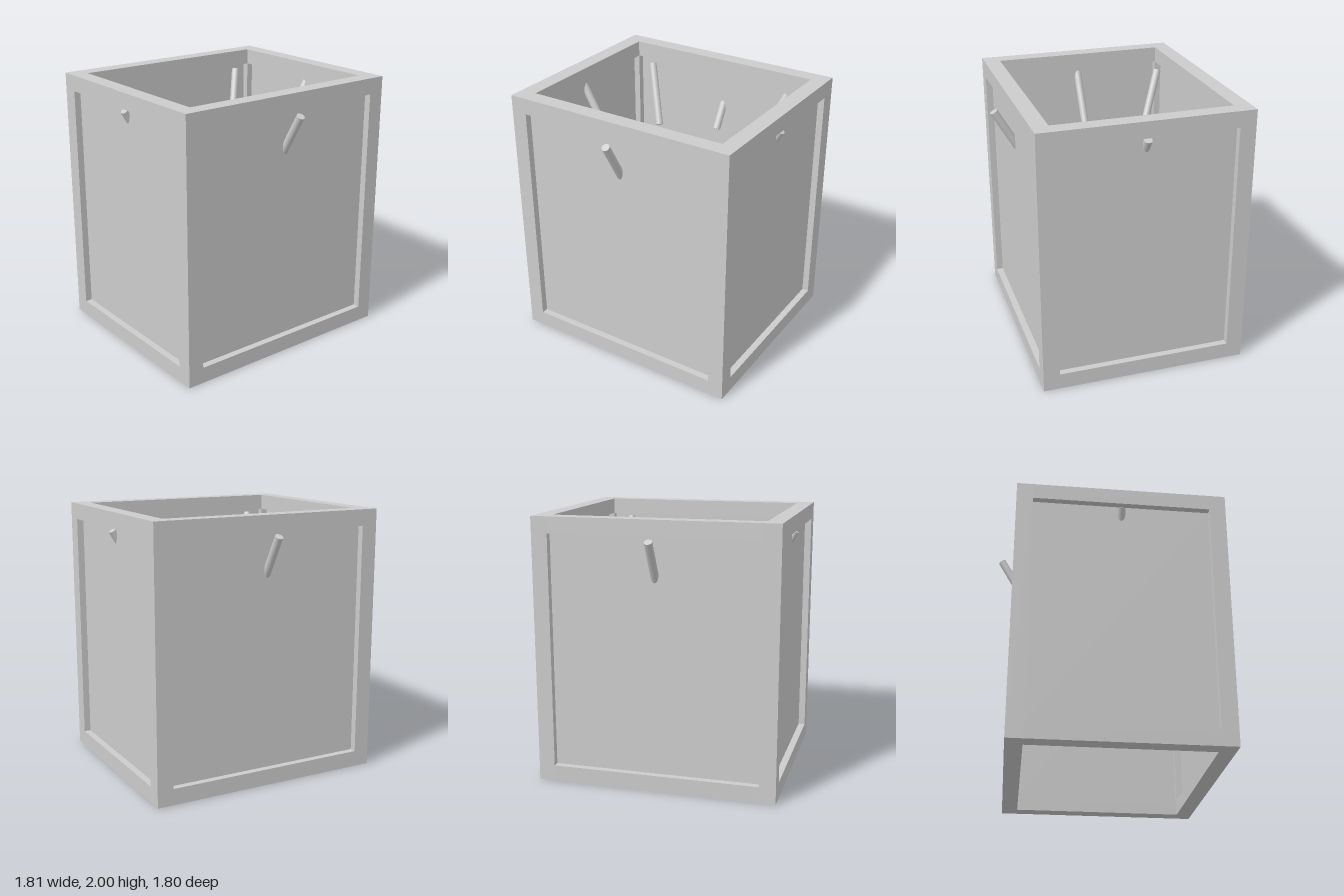
import * as THREE from 'three';

export function createModel() {
  const model = new THREE.Group();
  const grey = new THREE.MeshStandardMaterial({ color: 0xcccccc });
  grey.name = 'light grey';

  const add = (name, geometry, x, y, z, parent = model) => {
    const mesh = new THREE.Mesh(geometry, grey);
    mesh.name = name;
    mesh.position.set(x, y, z);
    parent.add(mesh);
    return mesh;
  };
  const box = (name, w, h, d, x, y, z) => add(name, new THREE.BoxGeometry(w, h, d), x, y, z);

  const X = 0.905, Z = 0.782, H = 2; // outer half sizes and height
  const T = 0.122;                   // beam thickness
  const innerW = 2 * (X - T), innerD = 2 * (Z - T), innerH = H - 2 * T;
  const cx = X - T / 2, cz = Z - T / 2;

  // open frame: four posts, with beams at the top and bottom
  for (const sx of [-1, 1]) {
    for (const sz of [-1, 1]) box('cornerPost', T, H, T, sx * cx, H / 2, sz * cz);
  }
  for (const y of [T / 2, H - T / 2]) {
    for (const s of [-1, 1]) {
      box('longBeam', innerW, T, T, 0, y, s * cz);
      box('shortBeam', T, T, innerD, s * cx, y, 0);
    }
  }

  // thin wall panels set in the middle of the frame
  for (const s of [-1, 1]) {
    box('widePanel', innerW, innerH, 0.02, 0, H / 2, s * cz);
    box('sidePanel', 0.02, innerH, innerD, s * cx, H / 2, 0);
  }

  // round drum inside, with a slightly recessed top and bottom inside a rim
  const profile = [
    [0, 0.82], [0.54, 0.82], [0.54, 0.8], [0.57, 0.8],
    [0.57, 1.2], [0.54, 1.2], [0.54, 1.18], [0, 1.18],
  ];
  // each straight run is its own lathe so that the edges stay sharp
  const drum = new THREE.Group();
  drum.name = 'drum';
  model.add(drum);
  for (let i = 1; i < profile.length; i++) {
    const run = [profile[i - 1], profile[i]].map(([r, y]) => new THREE.Vector2(r, y));
    add('drumSurface', new THREE.LatheGeometry(run, 64), 0, 0, 0, drum);
  }

  // ring of eight rods leaning outwards by 30 degrees
  const rodGeometry = new THREE.CylinderGeometry(0.03, 0.03, 0.51, 16);
  for (let i = 0; i < 8; i++) {
    const arm = new THREE.Group();
    arm.name = 'rodArm';
    arm.rotation.y = (i * Math.PI) / 4;
    const rod = add('rod', rodGeometry, 0.7475, 1.636, 0, arm);
    rod.rotation.z = -Math.PI / 6;
    model.add(arm);
  }

  return model;
}
